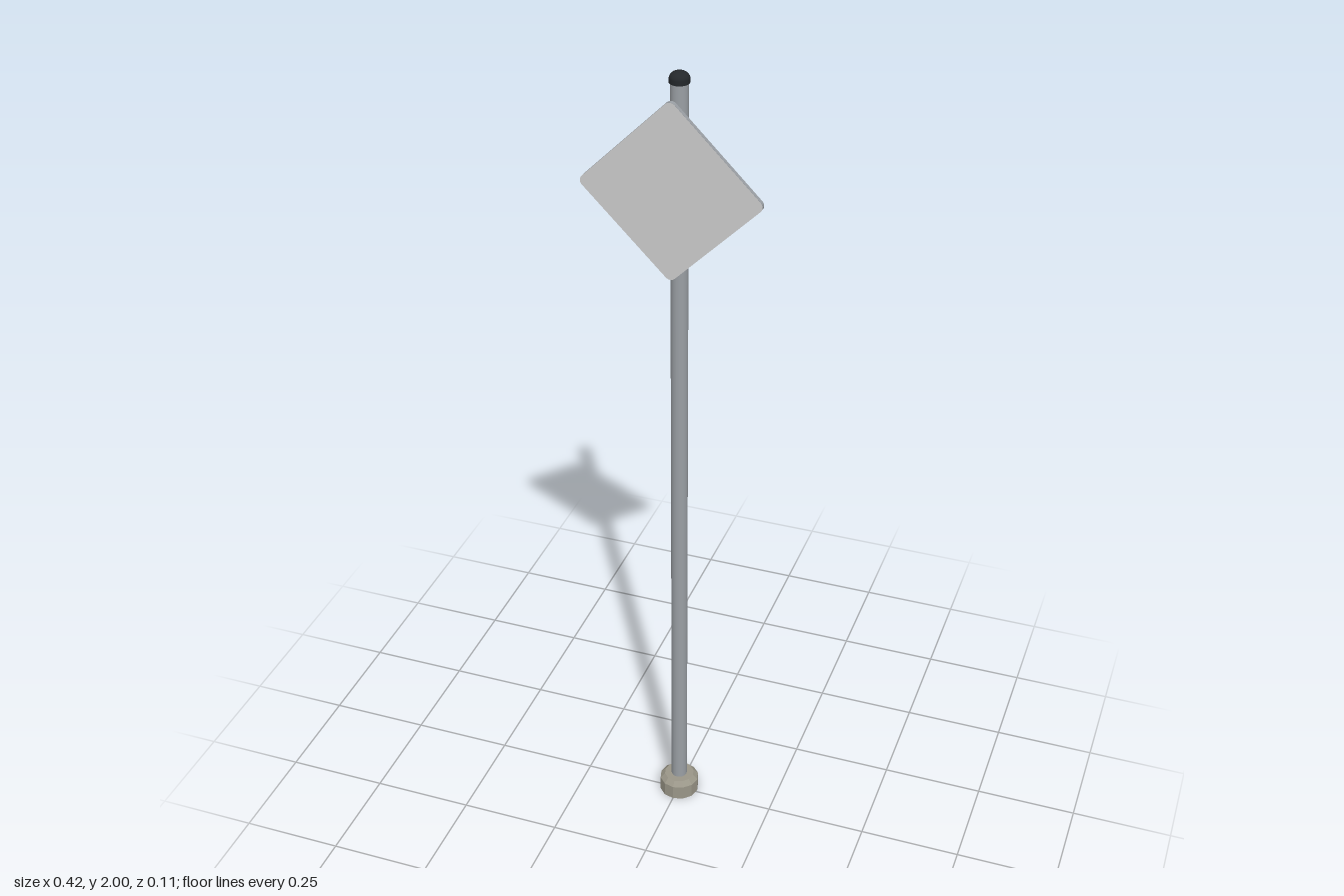
import * as THREE from 'three';

const POLE_Z = -0.006;

export function createModel() {
  const model = new THREE.Group();
  const steel = new THREE.MeshStandardMaterial({ color: 0x9a9fa4 });
  const flatSteel = new THREE.MeshStandardMaterial({ color: 0x9a9fa4, flatShading: true });
  const concrete = new THREE.MeshStandardMaterial({ color: 0x9a9688, flatShading: true });
  const black = new THREE.MeshStandardMaterial({ color: 0x24282b });
  const grey = new THREE.MeshStandardMaterial({ color: 0xcccccc });

  const add = (name, geometry, material, x, y, z) => {
    const mesh = new THREE.Mesh(geometry, material);
    mesh.name = name;
    mesh.position.set(x, y, z);
    model.add(mesh);
    return mesh;
  };

  // Concrete footing with a chamfered top
  add('footing', new THREE.CylinderGeometry(0.05, 0.05, 0.038, 12), concrete, 0, 0.019, POLE_Z);
  add('footingChamfer', new THREE.CylinderGeometry(0.038, 0.05, 0.012, 12), concrete, 0, 0.044, POLE_Z);

  // Pole and domed cap
  add('pole', new THREE.CylinderGeometry(0.02, 0.02, 1.94, 16), steel, 0, 1.01, POLE_Z);
  add('capRim', new THREE.CylinderGeometry(0.023, 0.023, 0.01, 16), black, 0, 1.979, POLE_Z);
  const dome = add('capDome', new THREE.SphereGeometry(0.023, 16, 6, 0, Math.PI * 2, 0, Math.PI / 2), black, 0, 1.984, POLE_Z);
  dome.scale.y = 0.7;

  // Clamps and horizontal rails behind the panel
  for (const y of [1.812, 1.677]) {
    add('clampBand', new THREE.CylinderGeometry(0.025, 0.025, 0.03, 16), steel, 0, y, POLE_Z);
    add('clampBlock', new THREE.BoxGeometry(0.04, 0.024, 0.014), flatSteel, 0, y, 0.017);
    add('rail', new THREE.BoxGeometry(0.22, 0.024, 0.02), flatSteel, 0, y, 0.034);
  }

  // Diamond panel with rounded corners
  const h = 0.1515, r = 0.015, c = h - r;
  const outline = new THREE.Shape();
  for (let i = 0; i < 4; i++) {
    const a = i * Math.PI / 2;
    const sx = i === 0 || i === 3 ? c : -c;
    const sy = i < 2 ? c : -c;
    outline.absarc(sx, sy, r, a, a + Math.PI / 2, false);
  }
  outline.closePath();
  const plate = add('signPlate', new THREE.ExtrudeGeometry(outline, { depth: 0.01, bevelEnabled: false, curveSegments: 4 }),
    flatSteel, 0, 1.744, 0.044);
  plate.rotation.z = Math.PI / 4;

  // Front face sheet
  const face = add('signFace', new THREE.ShapeGeometry(outline, 4), grey, 0, 1.744, 0.0548);
  face.rotation.z = Math.PI / 4;

  return model;
}
